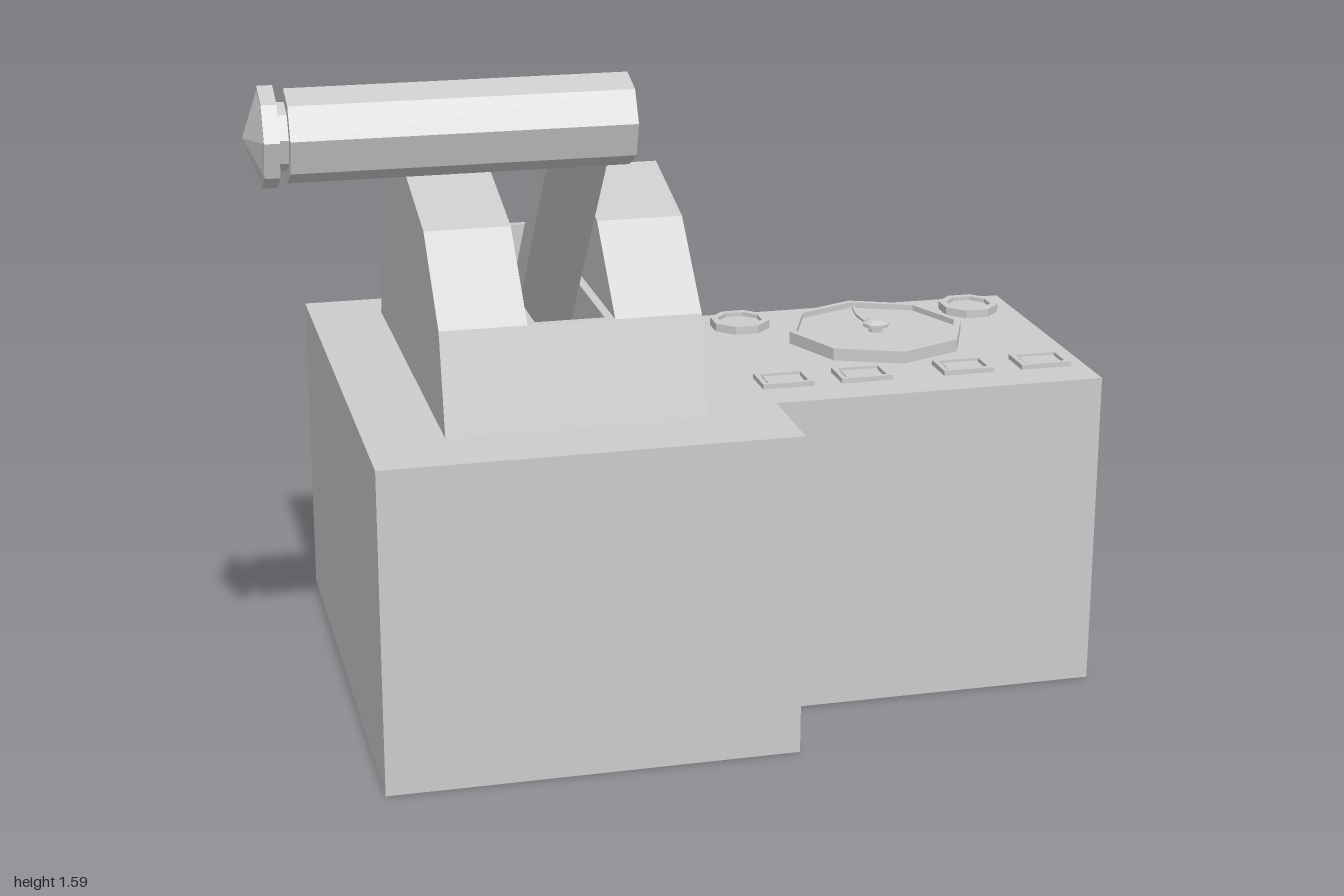
import * as THREE from 'three';

const mat = new THREE.MeshStandardMaterial({ color: 0xcccccc, flatShading: true, side: THREE.DoubleSide });
const TOP = 0.77;
const rad = THREE.MathUtils.degToRad;

const toShape = (pts) => new THREE.Shape(pts.map(([x, y]) => new THREE.Vector2(x, y)));

function add(parent, name, geometry, x = 0, y = 0, z = 0) {
  const mesh = new THREE.Mesh(geometry, mat);
  mesh.name = name;
  mesh.position.set(x, y, z);
  parent.add(mesh);
  return mesh;
}

// Side profile given as [z, y], extruded along x
function sideSlab(profile, width) {
  const shape = toShape(profile.map(([z, y]) => [-z, y]));
  return new THREE.ExtrudeGeometry(shape, { depth: width, bevelEnabled: false }).rotateY(Math.PI / 2);
}

function lathe(pts, sides, start = 0) {
  return new THREE.LatheGeometry(pts.map(([r, y]) => new THREE.Vector2(r, y)), sides, start);
}

// Raised rim around a lower flat disc
const rimmedDisc = (rOut, rIn, h, hIn, start) =>
  lathe([[rOut, 0], [rOut, h], [rIn, h], [rIn, hIn], [0, hIn]], 8, start);

const rect = (w, d) => [[-w / 2, -d / 2], [w / 2, -d / 2], [w / 2, d / 2], [-w / 2, d / 2]];

const flatPlate = (shape, depth) =>
  new THREE.ExtrudeGeometry(shape, { depth, bevelEnabled: false }).rotateX(-Math.PI / 2);

// Hollow base, open underneath
function buildBase() {
  const base = new THREE.Group();
  base.name = 'base';
  const outline = [[-0.76, 0.64], [0.2, 0.64], [0.2, 0.405], [1, 0.405],
    [1, -0.305], [0.2, -0.305], [0.2, -0.65], [-0.76, -0.65]];
  const topShape = toShape(outline.map(([x, z]) => [x, -z]));
  add(base, 'baseTop', new THREE.ShapeGeometry(topShape).rotateX(-Math.PI / 2), 0, TOP, 0);
  outline.forEach(([x0, z0], i) => {
    const [x1, z1] = outline[(i + 1) % outline.length];
    const wall = new THREE.PlaneGeometry(Math.hypot(x1 - x0, z1 - z0), TOP);
    wall.rotateY(Math.atan2(z0 - z1, x1 - x0));
    add(base, 'baseWall', wall, (x0 + x1) / 2, TOP / 2, (z0 + z1) / 2);
  });
  return base;
}

// Two arched cheeks with a slotted guide between them
function buildLeverHousing() {
  const housing = new THREE.Group();
  housing.name = 'leverHousing';
  const cheek = [[0.47, TOP], [0.41, 1], [0.225, 1.18], [-0.03, 1.25],
    [-0.28, 1.18], [-0.47, 1], [-0.53, TOP]];
  for (const x of [-0.58, -0.18]) add(housing, 'cheek', sideSlab(cheek, 0.2), x);
  const side = [[0.41, TOP], [0.41, 1], [-0.47, 1], [-0.47, TOP]];
  for (const x of [-0.38, -0.2]) add(housing, 'slotSide', sideSlab(side, 0.02), x);
  add(housing, 'slotFront', sideSlab([[0.47, TOP], [0.41, 1], [0.39, 1], [0.39, TOP]], 0.2), -0.38);
  add(housing, 'slotBack', sideSlab([[-0.45, TOP], [-0.45, 1], [-0.47, 1], [-0.53, TOP]], 0.2), -0.38);
  add(housing, 'slotFloor', new THREE.BoxGeometry(0.16, 0.02, 0.84), -0.28, TOP + 0.005, -0.03);
  return housing;
}

// Tilted six-sided arm with an eight-sided grip and pointed end cap
function buildLever() {
  const lever = new THREE.Group();
  lever.name = 'lever';
  const arm = new THREE.CylinderGeometry(0.077, 0.077, 0.85, 6).translate(0, -0.425, 0);
  arm.rotateX(rad(40));
  add(lever, 'leverArm', arm, -0.28, 1.485, 0.523);
  const grip = lathe([[0, 0], [0.1, 0], [0.1, 0.735], [0.072, 0.735], [0.072, 0.757],
    [0.108, 0.757], [0.108, 0.79], [0.1, 0.79], [0, 0.825]], 8, rad(5));
  add(lever, 'grip', grip.rotateZ(Math.PI / 2), -0.175, 1.485, 0.523);
  return lever;
}

// Dial, round lamps and a row of buttons
function buildPanel() {
  const panel = new THREE.Group();
  panel.name = 'controlPanel';
  panel.position.y = TOP;

  add(panel, 'gauge', rimmedDisc(0.222, 0.205, 0.03, 0.016, 0), 0.58, 0, -0.03);
  add(panel, 'gaugeHub', lathe([[0.018, 0], [0.018, 0.016], [0.033, 0.016], [0.033, 0.024],
    [0.018, 0.032], [0, 0.034]], 8), 0.58, 0.014, -0.03);
  const needle = toShape([[-0.006, 0], [0.006, 0], [0.013, 0.12], [0.003, 0.185], [-0.003, 0.185], [-0.013, 0.12]]);
  add(panel, 'gaugeNeedle', flatPlate(needle, 0.006), 0.58, 0.019, -0.03);

  for (const x of [0.277, 0.882]) {
    add(panel, 'roundLamp', rimmedDisc(0.075, 0.056, 0.02, 0.01, Math.PI / 8), x, 0, -0.197);
  }

  for (const x of [0.26, 0.452, 0.705, 0.9]) {
    const frame = toShape(rect(0.125, 0.09));
    frame.holes.push(new THREE.Path(toShape(rect(0.1, 0.066)).getPoints()));
    add(panel, 'buttonFrame', flatPlate(frame, 0.012), x, 0, 0.258);
    add(panel, 'button', new THREE.BoxGeometry(0.088, 0.008, 0.054), x, 0.004, 0.258);
  }
  return panel;
}

export function createModel() {
  const model = new THREE.Group();
  model.name = 'leverConsole';
  model.add(buildBase(), buildLeverHousing(), buildLever(), buildPanel());
  return model;
}
